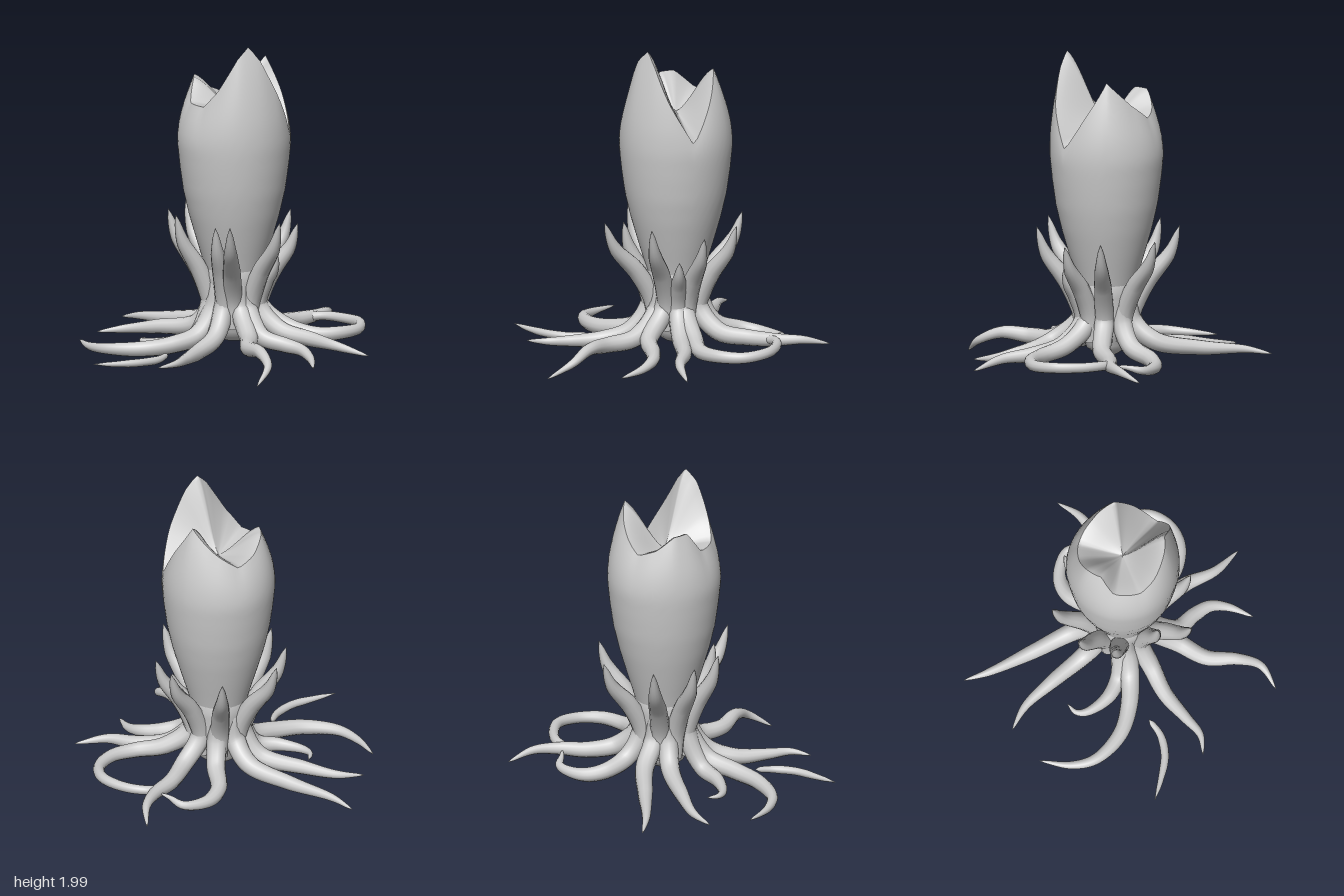
import * as THREE from 'three';

const material = new THREE.MeshStandardMaterial({ color: 0xcccccc, side: THREE.DoubleSide });
const CX = 0.05, CZ = -0.037; // axis of the bud
const { lerp, clamp } = THREE.MathUtils;

// Piecewise linear lookup: rows are [key, value, value...]
function sample(rows, key, col) {
  for (let i = 1; i < rows.length; i++) {
    const a = rows[i - 1], b = rows[i];
    if (key <= b[0]) return lerp(a[col], b[col], clamp((key - a[0]) / (b[0] - a[0]), 0, 1));
  }
  return rows[rows.length - 1][col];
}

// Closed loft: point(angle in degrees, t) gives [radius, y] around the bud axis
function loft(name, columns, rows, point) {
  const pos = [], index = [];
  for (let j = 0; j <= rows; j++) {
    for (let i = 0; i < columns; i++) {
      const deg = -74 + (i / columns) * 360, a = THREE.MathUtils.degToRad(deg);
      const [r, y] = point(deg, j / rows);
      pos.push(CX + Math.cos(a) * r, y, CZ + Math.sin(a) * r);
      if (j === rows) continue;
      const p = j * columns + i, q = j * columns + (i + 1) % columns;
      index.push(p, p + columns, q, q, p + columns, q + columns);
    }
  }
  const g = new THREE.BufferGeometry();
  g.setAttribute('position', new THREE.Float32BufferAttribute(pos, 3));
  g.setIndex(index);
  g.computeVertexNormals();
  const mesh = new THREE.Mesh(g, material);
  mesh.name = name;
  return mesh;
}

// Tube along a smooth path whose radius follows radii rows [t, radius]
function taperedTube(name, points, radii, segments = 48) {
  const curve = new THREE.CatmullRomCurve3(points.map((p) => new THREE.Vector3(...p)));
  const sides = 12;
  const g = new THREE.TubeGeometry(curve, segments, 1, sides, false);
  const pos = g.attributes.position, v = new THREE.Vector3();
  for (let i = 0; i <= segments; i++) {
    const t = i / segments, c = curve.getPointAt(t), r = sample(radii, t, 1);
    for (let k = 0; k <= sides; k++) {
      const n = i * (sides + 1) + k;
      v.fromBufferAttribute(pos, n).sub(c).multiplyScalar(r).add(c);
      pos.setXYZ(n, v.x, v.y, v.z);
    }
  }
  const mesh = new THREE.Mesh(g, material);
  mesh.name = name;
  return mesh;
}

// Rim of the bud: angle, height, radius (three pointed lobes)
const rim = [
  [-74, 1.86, 0.25], [-50, 1.66, 0.3], [-25, 1.43, 0.345], [0, 1.68, 0.33],
  [20, 1.9, 0.29], [35, 2.0, 0.26], [50, 1.93, 0.28], [75, 1.72, 0.29],
  [95, 1.61, 0.29], [130, 1.61, 0.28], [150, 1.75, 0.25], [172, 1.75, 0.275],
  [195, 1.66, 0.28], [220, 1.61, 0.28], [250, 1.71, 0.26], [286, 1.86, 0.25],
];
// Side profile of the bud: height, radius
const profile = [
  [0.3, 0.12], [0.45, 0.155], [0.6, 0.195], [0.75, 0.24], [0.9, 0.283],
  [1.05, 0.317], [1.2, 0.338], [1.35, 0.353], [1.5, 0.358],
];
// Stem: t, radius, height
const stem = [
  [0, 0, 0.1], [0.15, 0.07, 0.1], [0.3, 0.125, 0.14], [0.5, 0.17, 0.25],
  [0.75, 0.178, 0.4], [0.9, 0.19, 0.52], [1, 0.175, 0.6],
];

// Upright leaf tips
const leafTips = [
  [0.47, 0.9, 0.07], [0.31, 0.9, 0.38], [0.13, 0.86, 0.28], [-0.17, 0.91, 0.28],
  [-0.34, 0.9, 0.12], [-0.39, 0.9, -0.14], [-0.15, 0.87, -0.43],
  [0.2, 0.87, -0.43], [0.38, 0.83, -0.25], [0.34, 0.66, -0.09],
];

// Tentacle paths outside the stem
const tentacles = [
  [[-0.22, 0.19, -0.18], [-0.5, 0.135, -0.2], [-0.8, 0.11, -0.22], [-0.95, 0.08, -0.255]],
  [[-0.22, 0.17, -0.02], [-0.5, 0.12, 0.03], [-0.7, 0.09, 0.08], [-0.84, 0.07, 0.17]],
  [[-0.1, 0.12, 0.19], [-0.22, 0.09, 0.27], [-0.38, 0.08, 0.29], [-0.44, 0.08, 0.26], [-0.46, 0.08, 0.19]],
  [[-0.04, 0.16, 0.22], [-0.13, 0.11, 0.38], [-0.27, 0.09, 0.52], [-0.48, 0.08, 0.59], [-0.63, 0.07, 0.55], [-0.79, 0.07, 0.43]],
  [[0.1, 0.16, 0.24], [0.1, 0.1, 0.42], [0.14, 0.09, 0.62], [0.165, 0.09, 0.76], [0.12, 0.08, 0.88]],
  [[0.32, 0.17, 0.19], [0.43, 0.15, 0.35], [0.59, 0.16, 0.45], [0.71, 0.1, 0.54], [0.735, 0.006, 0.69]],
  [[0.36, 0.17, 0.1], [0.5, 0.13, 0.06], [0.62, 0.11, 0.05], [0.72, 0.08, 0.1], [0.83, 0.05, 0.22]],
  [[0.35, 0.18, -0.1], [0.55, 0.14, -0.14], [0.75, 0.12, -0.135], [0.95, 0.07, -0.2]],
  [[0.16, 0.18, -0.32], [0.165, 0.15, -0.5], [0.2, 0.15, -0.68], [0.185, 0.15, -0.84], [0.11, 0.11, -1.0]],
  [[-0.04, 0.18, -0.28], [-0.12, 0.13, -0.42], [-0.12, 0.11, -0.54], [-0.06, 0.11, -0.64], [0.01, 0.12, -0.69], [0.1, 0.14, -0.67], [0.17, 0.15, -0.66]],
];
// Long curled tentacle that meets the back one
const loopPath = [
  [0.35, 0.19, -0.18], [0.52, 0.15, -0.24], [0.63, 0.15, -0.37], [0.645, 0.15, -0.52],
  [0.56, 0.16, -0.65], [0.4, 0.16, -0.695], [0.27, 0.16, -0.68], [0.19, 0.15, -0.62],
];

// Adds the root that climbs the stem above a tentacle
function withRoot(path) {
  const [x, , z] = path[0];
  const d = Math.hypot(x - CX, z - CZ), ux = (x - CX) / d, uz = (z - CZ) / d;
  const at = (r, y) => [CX + ux * r, y, CZ + uz * r];
  return [at(0.15, 0.47), at(0.165, 0.31), ...path];
}

export function createModel() {
  const model = new THREE.Group();
  model.name = 'tentacledBud';

  // Bud: outer wall, and lobes sloping down to a shallow hollow
  model.add(loft('budWall', 72, 28, (deg, t) => {
    const top = sample(rim, deg, 1), y = lerp(0.3, top, t);
    const k = clamp((y - 1.34) / (top - 1.34), 0, 1) ** 1.8;
    return [lerp(sample(profile, y, 1), sample(rim, deg, 2), k), y];
  }));
  model.add(loft('budHollow', 72, 12, (deg, t) => [
    sample(rim, deg, 2) * (1 - t),
    lerp(sample(rim, deg, 1), 1.56, lerp(t, t * t * (3 - 2 * t), 0.6)),
  ]));
  model.add(loft('stem', 40, 20, (deg, t) => [sample(stem, t, 1), sample(stem, t, 2)]));

  // Leaves rising round the bud
  const leaves = new THREE.Group();
  leaves.name = 'leaves';
  for (const tip of leafTips) {
    const dx = tip[0] - CX, dz = tip[2] - CZ, reach = Math.hypot(dx, dz);
    const at = (r, y) => [CX + (dx / reach) * r, y, CZ + (dz / reach) * r];
    const h = tip[1];
    leaves.add(taperedTube('leaf',
      [at(0.14, 0.2), at(0.165, 0.38), at(lerp(0.18, reach, 0.28), lerp(0.4, h, 0.32)),
        at(lerp(0.18, reach, 0.77), lerp(0.4, h, 0.66)), tip],
      [[0, 0.05], [0.3, 0.06], [0.55, 0.055], [0.75, 0.043], [0.92, 0.021], [1, 0.002]], 28));
  }
  model.add(leaves);

  // Tentacles spreading over the ground
  const arms = new THREE.Group();
  arms.name = 'tentacles';
  const taper = [[0, 0.04], [0.15, 0.064], [0.3, 0.06], [0.6, 0.046], [0.85, 0.025], [0.97, 0.01], [1, 0.002]];
  const thick = [[0, 0.04], [0.12, 0.064], [0.25, 0.055], [0.6, 0.036], [1, 0.028]];
  for (const path of tentacles) arms.add(taperedTube('tentacle', withRoot(path), taper));
  arms.add(taperedTube('curledTentacle', withRoot(loopPath), thick, 72));

  // Loose piece lying in front
  arms.add(taperedTube('loosePiece',
    [[-0.065, 0.08, 0.52], [-0.05, 0.07, 0.64], [-0.09, 0.07, 0.77], [-0.19, 0.07, 0.9], [-0.285, 0.075, 1.0]],
    [[0, 0.002], [0.05, 0.018], [0.3, 0.026], [0.6, 0.024], [0.85, 0.014], [1, 0.002]]));
  model.add(arms);
  return model;
}
